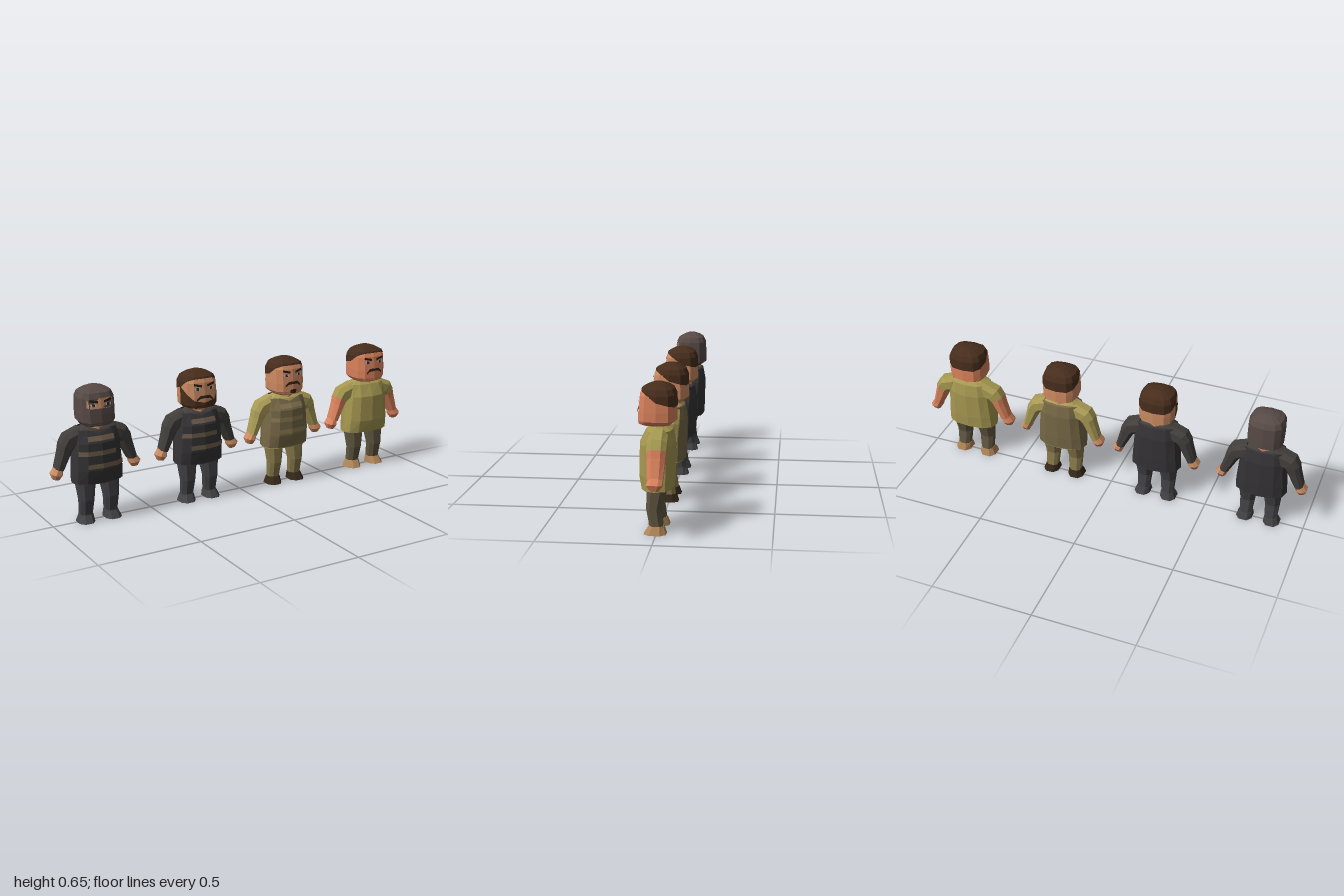
import * as THREE from 'three';

const SIDES = 12;
const clamp = THREE.MathUtils.clamp;

// Flat-shaded skin between rings of points (bottom to top)
function loft(rings, { closed = true, caps = true, flip = false } = {}) {
  const pos = [];
  const tri = (a, b, c) => {
    const area = b.clone().sub(a).cross(c.clone().sub(a)).length();
    if (area < 1e-9) return;
    for (const p of flip ? [a, c, b] : [a, b, c]) pos.push(p.x, p.y, p.z);
  };
  const n = rings[0].length;
  for (let j = 0; j + 1 < rings.length; j++) {
    for (let i = 0; i < (closed ? n : n - 1); i++) {
      const k = (i + 1) % n, lo = rings[j], hi = rings[j + 1];
      tri(lo[i], lo[k], hi[k]);
      tri(lo[i], hi[k], hi[i]);
    }
  }
  if (closed && caps) {
    const lo = rings[0], hi = rings[rings.length - 1];
    for (let i = 1; i + 1 < n; i++) {
      tri(lo[0], lo[i + 1], lo[i]);
      tri(hi[0], hi[i], hi[i + 1]);
    }
  }
  const g = new THREE.BufferGeometry();
  g.setAttribute('position', new THREE.Float32BufferAttribute(pos, 3));
  g.computeVertexNormals();
  return g;
}

const round = (v, e) => Math.sign(v) * Math.pow(Math.abs(v), e);

// Body surface from rows of [y, half width, front z, back z]
function surface(rows, e) {
  const point = (i, y, k = 1) => {
    let j = 0;
    while (j < rows.length - 2 && y > rows[j + 1][0]) j++;
    const t = clamp((y - rows[j][0]) / (rows[j + 1][0] - rows[j][0]), 0, 1);
    const [, w, f, b] = rows[j].map((v, m) => THREE.MathUtils.lerp(v, rows[j + 1][m], t));
    const a = i / SIDES * Math.PI * 2, s = -round(Math.sin(a), e);
    return new THREE.Vector3(w * round(Math.cos(a), e) * k, y + (k - 1) * 0.1, (s > 0 ? s * f : -s * b) * k);
  };
  // Part of the surface between two height rules, over sides i0..i1
  const band = (lo, hi, k = 1, i0 = 0, i1 = SIDES, caps = false) => {
    const closed = i1 - i0 === SIDES;
    const ids = Array.from({ length: i1 - i0 + (closed ? 0 : 1) }, (_, m) => i0 + m);
    const ys = rows.map(r => r[0]);
    return loft(ys.map(y => ids.map(i => point(i, clamp(y, lo(i), hi(i)), k))), { closed, caps });
  };
  // Flat outline laid on the front
  const decal = (pts, k, s = 1) => {
    const g = new THREE.ShapeGeometry(new THREE.Shape(pts.map(p => new THREE.Vector2(p[0] * s, p[1]))));
    const p = g.attributes.position;
    for (let v = 0; v < p.count; v++) {
      const x = Math.abs(p.getX(v)), y = p.getY(v);
      let i = 9;
      while (i < 11 && point(i + 1, y, k).x < x) i++;
      const a = point(i, y, k), b = point(i + 1, y, k);
      p.setZ(v, THREE.MathUtils.lerp(a.z, b.z, clamp((x - a.x) / (b.x - a.x), 0, 1)));
    }
    g.computeVertexNormals();
    return g;
  };
  return { band, decal };
}

const HEAD = surface([
  [0.47, 0.065, 0.07, -0.05], [0.478, 0.076, 0.086, -0.066], [0.49, 0.085, 0.087, -0.084],
  [0.53, 0.087, 0.085, -0.084], [0.6, 0.086, 0.077, -0.082], [0.625, 0.076, 0.066, -0.07],
  [0.64, 0.05, 0.038, -0.047], [0.649, 0.02, 0.015, -0.025]], 0.7);
const TORSO = surface([
  [0.197, 0.124, 0.07, -0.072], [0.26, 0.121, 0.082, -0.076], [0.39, 0.111, 0.079, -0.078],
  [0.45, 0.1, 0.05, -0.067], [0.472, 0.06, 0.022, -0.035]], 0.8);

// Limb from sections [x, y, z, half width, half depth, tilt in degrees]
function limb(sections, s) {
  const rings = sections.map(([x, y, z, w, d, tilt = 0]) => {
    const t = tilt * Math.PI / 180;
    return Array.from({ length: 8 }, (_, i) => {
      const a = (i + 0.5) / 8 * Math.PI * 2, u = round(Math.cos(a), 0.8) * w;
      return new THREE.Vector3(s * (x + u * Math.cos(t)), y + u * Math.sin(t), z - round(Math.sin(a), 0.8) * d);
    });
  });
  return loft(rings, { flip: s < 0 });
}

const HAND = [[0.199, 0.226, -0.008, 0.017, 0.018, 10], [0.197, 0.25, -0.008, 0.028, 0.037, 12], [0.183, 0.28, -0.01, 0.02, 0.03, 17]];
const ARM = [[0.184, 0.272, -0.01, 0.023, 0.036, 17], [0.154, 0.35, -0.011, 0.032, 0.041, 22],
  [0.145, 0.378, -0.011, 0.037, 0.044, 30], [0.126, 0.403, -0.011, 0.044, 0.046, 50], [0.075, 0.418, -0.01, 0.048, 0.044, 82]];
const LEG = [[0.063, 0.033, 0, 0.031, 0.031], [0.062, 0.11, 0.012, 0.037, 0.033], [0.059, 0.215, -0.003, 0.05, 0.046]];
const FOOT = [[0.068, 0, 0.006, 0.042, 0.052], [0.063, 0.036, 0, 0.033, 0.033]];

const EYE = [[0.022, 0.568], [0.05, 0.566], [0.052, 0.58], [0.024, 0.577]];
const PUPIL = [[0.03, 0.566], [0.042, 0.566], [0.042, 0.58], [0.03, 0.578]];
const BROW = [[0.014, 0.58], [0.055, 0.59], [0.053, 0.6], [0.014, 0.591]];
const MOUSTACHE = [[0, 0.528], [0.026, 0.525], [0.044, 0.513], [0.042, 0.525], [0.024, 0.54], [0, 0.54]];
const GOATEE = [[0, 0.48], [0.016, 0.482], [0.018, 0.498], [0, 0.502]];
const EYE_SLOT = [[0, 0.556], [0.05, 0.556], [0.064, 0.562], [0.062, 0.597], [0.05, 0.602], [0, 0.602]];

// Height rules per side; side 9 faces the front, side 3 the back
const flat = y => () => y;
const hairline = i => [0.572, 0.557, 0.55, 0.55, 0.55, 0.557, 0.572, 0.607, 0.617, 0.618, 0.617, 0.607][i % 12];
const beardTop = i => [0.575, 0.47, 0.47, 0.47, 0.47, 0.47, 0.575, 0.545, 0.515, 0.503, 0.515, 0.545][i % 12];
const vestTop = i => [0.44, 0.45, 0.455, 0.455, 0.455, 0.45, 0.44, 0.448, 0.45, 0.432, 0.45, 0.448][i % 12];

function createFigure(o) {
  const figure = new THREE.Group();
  const add = (name, geometry, color) => {
    const m = new THREE.MeshStandardMaterial({ color, flatShading: true, side: THREE.DoubleSide });
    const mesh = new THREE.Mesh(geometry, m);
    mesh.name = name;
    figure.add(mesh);
  };

  // Torso, vest and its stripes
  const neck = new THREE.CylinderGeometry(0.045, 0.05, 0.04, 8);
  neck.translate(0, 0.465, -0.005);
  add('neck', neck, o.skin);
  add('shirt', TORSO.band(flat(0.197), flat(0.472), o.vest ? 0.96 : 1, 0, SIDES, true), o.shirt);
  if (o.vest) {
    add('vest', TORSO.band(flat(0.197), vestTop, 1.02), o.vest);
    [[0.398, 0.42, 8, 10], [0.33, 0.352, 7, 10], [0.268, 0.29, 8, 11]].forEach(([lo, hi, a, b]) =>
      add('vestStripe', TORSO.band(flat(lo), flat(hi), 1.045, a, b), o.stripe));
  } else {
    const seam = TORSO.decal([[0, 0.394], [0.095, 0.394], [0.095, 0.397], [0, 0.397]], 1.02);
    add('shirtSeam', seam, 0x857940);
  }

  // Head, hair and face
  add('head', HEAD.band(flat(0.47), flat(0.65), 1, 0, SIDES, true), o.mask ?? o.skin);
  if (!o.mask) add('hair', HEAD.band(hairline, flat(0.65), 1.02, 0, SIDES, true), o.hair);
  if (o.beard) add('beard', HEAD.band(flat(0.47), beardTop, 1.02), o.hair);

  for (const s of [1, -1]) {
    const side = s > 0 ? 'left' : 'right';
    if (o.mask) add(side + 'EyeSlot', HEAD.decal(EYE_SLOT, 1.015, s), o.skin);
    add(side + 'Eye', HEAD.decal(EYE, 1.03, s), 0xb8bcbc);
    add(side + 'Pupil', HEAD.decal(PUPIL, 1.04, s), 0x2c2a2a);
    add(side + 'Brow', HEAD.decal(BROW, 1.045, s), 0x2a1b13);
    if (!o.mask) add(side + 'Moustache', HEAD.decal(MOUSTACHE, 1.035, s), 0x35211a);
    if (o.goatee) add(side + 'Goatee', HEAD.decal(GOATEE, 1.03, s), 0x35211a);

    // Arms and legs
    if (o.bareArms) {
      add(side + 'Forearm', limb(ARM.slice(0, 3), s), o.skin);
      add(side + 'Sleeve', limb(ARM.slice(2), s), o.shirt);
    } else {
      add(side + 'Sleeve', limb(ARM, s), o.shirt);
    }
    add(side + 'Hand', limb(HAND, s), o.skin);
    add(side + 'Leg', limb(LEG, s), o.trousers);
    add(side + 'Shoe', limb(FOOT, s), o.shoes);
  }
  return figure;
}

export function createModel() {
  const model = new THREE.Group();
  const dark = { skin: 0xc98b62, shirt: 0x413e3b, vest: 0x353335, stripe: 0x6e5c4a, trousers: 0x414145, shoes: 0x434345, hair: 0x472d1c };
  const figures = [
    ['maskedFigure', -0.774, 1, { ...dark, mask: 0x574a46 }],
    ['beardedFigure', -0.24, 1, { ...dark, beard: true }],
    ['vestFigure', 0.26, 1, { ...dark, skin: 0xcf8a62, shirt: 0xa99a55, vest: 0x776846, stripe: 0x8d7a54, trousers: 0x87784a, shoes: 0x35281b, goatee: true }],
    ['shirtFigure', 0.763, 1.045, { ...dark, skin: 0xd9825c, shirt: 0xa59750, vest: null, trousers: 0x605640, shoes: 0xb08558, bareArms: true }]
  ];
  for (const [name, x, width, options] of figures) {
    const figure = createFigure(options);
    figure.name = name;
    figure.position.x = x;
    figure.scale.x = width;
    model.add(figure);
  }
  return model;
}
